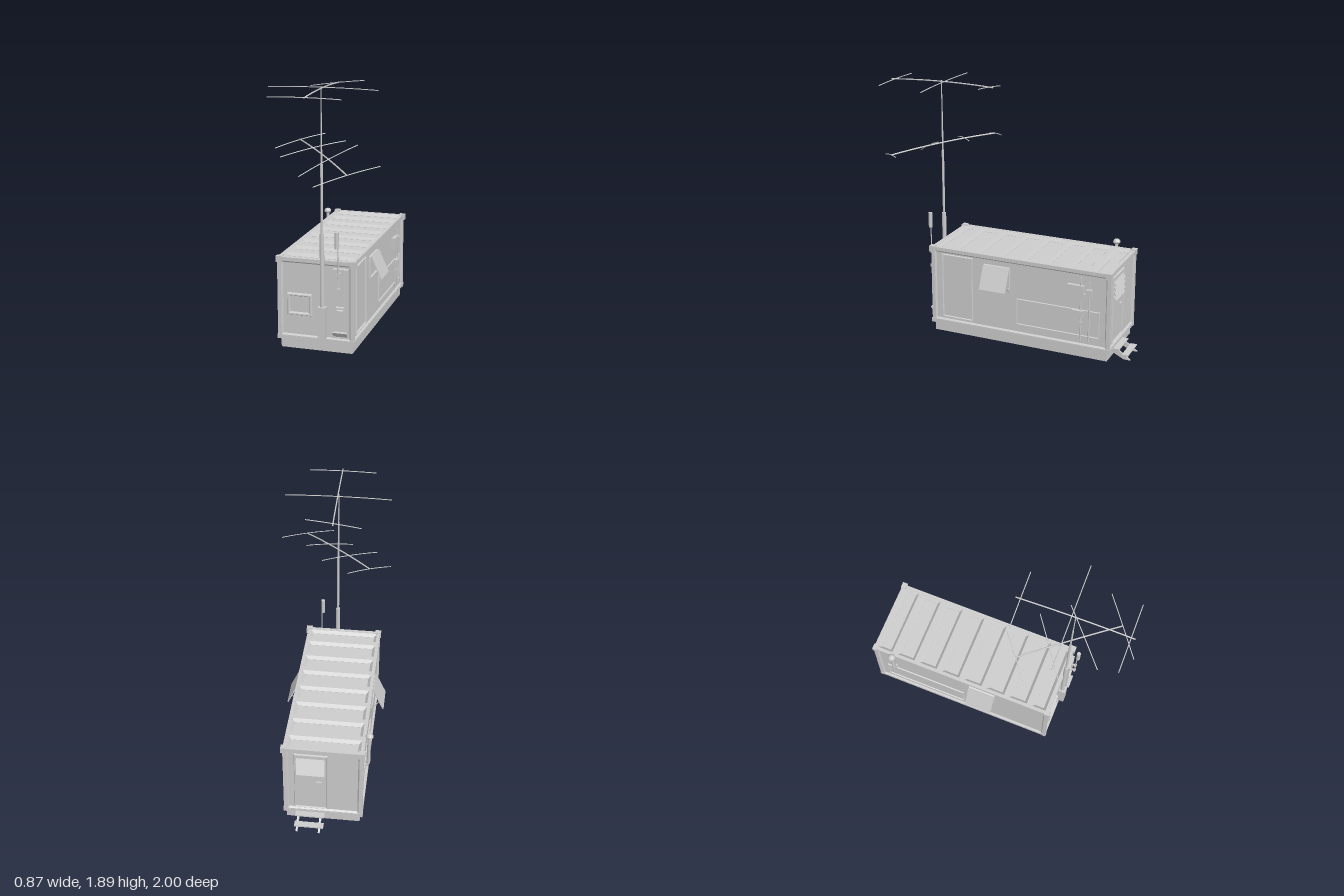
import * as THREE from 'three';

const grey = new THREE.MeshStandardMaterial({ color: 0xcccccc, flatShading: true });
const smooth = new THREE.MeshStandardMaterial({ color: 0xcccccc });
const V = (x, y, z) => new THREE.Vector3(x, y, z);

// Container extents
const X0 = -0.355, X1 = 0.212, Z0 = -0.872, Z1 = 0.545, Y0 = 0.07, Y1 = 0.675;
const XC = (X0 + X1) / 2, YC = (Y0 + Y1) / 2, ZC = (Z0 + Z1) / 2;

export function createModel() {
  const model = new THREE.Group();

  const add = (name, geo, mat = grey) => {
    const m = new THREE.Mesh(geo, mat);
    m.name = name;
    model.add(m);
    return m;
  };
  // Box from its minimum and maximum corners
  const box = (name, x0, x1, y0, y1, z0, z1) => {
    const m = add(name, new THREE.BoxGeometry(x1 - x0, y1 - y0, z1 - z0));
    m.position.set((x0 + x1) / 2, (y0 + y1) / 2, (z0 + z1) / 2);
  };
  // Straight rod between two points
  const rod = (name, a, b, r, sides = 10) => {
    const m = add(name, new THREE.CylinderGeometry(r, r, a.distanceTo(b), sides), smooth);
    m.position.copy(a).add(b).multiplyScalar(0.5);
    m.quaternion.setFromUnitVectors(V(0, 1, 0), b.clone().sub(a).normalize());
  };
  // Thin tube that sags from its middle towards both ends
  const bowed = (name, a, b, rise, r) => {
    const mid = a.clone().add(b).multiplyScalar(0.5);
    mid.y += rise * 2;
    add(name, new THREE.TubeGeometry(new THREE.QuadraticBezierCurve3(a, mid, b), 10, r, 6), smooth);
  };
  const rect = (Type, x0, x1, y0, y1) => new Type([
    [x0, y0], [x1, y0], [x1, y1], [x0, y1]].map(p => new THREE.Vector2(...p)));
  // Rectangular frame facing +z; a bevel slopes its sides out from the face
  const frame = (name, w, h, border, depth, bevel = 0) => {
    const s = rect(THREE.Shape, -w / 2 + bevel, w / 2 - bevel, -h / 2 + bevel, h / 2 - bevel);
    const b = border - bevel;
    s.holes.push(rect(THREE.Path, -w / 2 + b, w / 2 - b, -h / 2 + b, h / 2 - b));
    return add(name, new THREE.ExtrudeGeometry(s, bevel
      ? { depth: 0.001, bevelThickness: depth, bevelSize: bevel, bevelSegments: 1 }
      : { depth, bevelEnabled: false }));
  };
  const sideFrame = (name, side, z0, z1, y0, y1, border, depth, bevel) => {
    const m = frame(name, z1 - z0, y1 - y0, border, depth, bevel);
    m.rotation.y = side * Math.PI / 2;
    m.position.set(side > 0 ? X1 - 0.015 : X0 + 0.015, (y0 + y1) / 2, (z0 + z1) / 2);
  };

  // Hollow base skirt and body core
  const base = frame('base', 0.53, 1.378, 0.008, 0.08);
  base.rotation.x = -Math.PI / 2;
  base.position.set(-0.07, 0, -0.161);
  box('body', X0 + 0.015, X1 - 0.015, Y0 + 0.002, 0.65, Z0 + 0.015, Z1 - 0.015);

  // Outer frame: posts, rails and corner fittings
  const f = 0.024;
  for (const x of [X0, X1 - f]) {
    for (const z of [Z0, Z1 - f]) {
      box('cornerPost', x, x + f, Y0, Y1, z, z + f);
      box('topCorner', x - 0.007, x + f + 0.013, 0.637, 0.682, z - 0.006, z + f + 0.01);
      box('bottomCorner', x - 0.002, x + f + 0.004, Y0 - 0.002, 0.1, z - 0.002, z + f + 0.004);
    }
    for (const y of [Y0, Y1 - f]) box('sideRail', x, x + f, y, y + f, Z0 + f, Z1 - f);
  }
  for (const z of [Z0, Z1 - f])
    for (const y of [Y0, Y1 - f]) box('endRail', X0 + f, X1 - f, y, y + f, z, z + f);

  // Sloping lips that lead from the frame to the recessed walls
  for (const s of [1, -1]) {
    sideFrame('wallLip', s, Z0 + 0.012, Z1 - 0.012, Y0 + 0.012, Y1 - 0.012, 0.026, 0.012, 0.01);
    const lip = frame('endLip', X1 - X0 - 0.024, Y1 - Y0 - 0.024, 0.026, 0.012, 0.01);
    lip.rotation.y = s > 0 ? 0 : Math.PI;
    lip.position.set(XC, YC, ZC + s * ((Z1 - Z0) / 2 - 0.015));
  }

  // Roof sheet with eight recessed pans with sloping sides
  const roof = rect(THREE.Shape, X0 + 0.022, X1 - 0.022, -Z1 + 0.022, -Z0 - 0.022);
  for (let i = 0; i < 8; i++) {
    const z0 = i ? -0.866 + i * 0.182 : -0.842;
    const z1 = i === 7 ? 0.515 : -0.726 + i * 0.182;
    roof.holes.push(rect(THREE.Path, -0.33, 0.187, -z1, -z0));
  }
  const roofMesh = add('roof', new THREE.ExtrudeGeometry(roof, {
    depth: 0.002, bevelThickness: 0.022, bevelSize: 0.02, bevelSegments: 1 }));
  roofMesh.rotation.x = -Math.PI / 2;
  roofMesh.position.y = 0.65;

  // Front window
  frame('frontWindowFrame', 0.185, 0.165, 0.024, 0.016, 0.008).position.set(-0.193, 0.333, Z1 - 0.015);

  // Cable cabinet on the front
  frame('cabinetFrame', 0.11, 0.505, 0.008, 0.036).position.set(0.115, 0.372, 0.53);
  box('cabinetPanel', 0.066, 0.164, 0.125, 0.62, 0.53, 0.552);
  frame('cabinetSocket', 0.064, 0.034, 0.012, 0.016, 0.004).position.set(0.115, 0.333, 0.552);
  // Tray with a face that slopes back towards its foot
  const tray = add('cabinetTray', new THREE.ExtrudeGeometry(
    new THREE.Shape([[0.53, 0.125], [0.555, 0.125], [0.585, 0.165], [0.53, 0.165]]
      .map(([z, y]) => new THREE.Vector2(-z, y))), { depth: 0.106, bevelEnabled: false }));
  tray.rotation.y = Math.PI / 2;
  tray.position.x = 0.062;

  // Whip antenna with a round head
  rod('whipRod', V(0.112, 0.48, 0.592), V(0.112, 0.79, 0.597), 0.004);
  for (const y of [0.485, 0.595]) {
    box('whipClamp', 0.102, 0.122, y - 0.01, y + 0.01, 0.582, 0.602);
    box('whipBracket', 0.107, 0.117, y - 0.005, y + 0.005, 0.545, 0.585);
  }
  rod('whipHead', V(0.104, 0.785, 0.603), V(0.104, 0.9, 0.603), 0.0145, 12);

  // Telescopic mast
  const mx = -0.019, mz = 0.552;
  box('mastBase', -0.046, 0.01, 0.105, 0.338, 0.53, 0.582);
  for (const [y0, y1, r] of [[0.3, 0.87, 0.016], [0.87, 1.36, 0.009], [1.36, 1.65, 0.006], [1.65, 1.885, 0.004]])
    rod('mastSection', V(mx, y0, mz), V(mx, y1, mz), r, 12);

  // Upper antenna
  bowed('upperBoom', V(-0.02, 1.865, 0.135), V(-0.006, 1.865, 0.96), 0.014, 0.005);
  bowed('upperElement', V(-0.22, 1.838, 0.172), V(0.175, 1.888, 0.165), 0.004, 0.0035);
  bowed('upperElement', V(-0.405, 1.872, 0.532), V(0.37, 1.872, 0.517), 0.008, 0.0035);
  bowed('upperElement', V(-0.26, 1.862, 0.935), V(0.24, 1.862, 0.928), 0.005, 0.0035);

  // Lower antenna
  bowed('lowerBoom', V(-0.28, 1.462, 0.24), V(0.25, 1.355, 0.84), 0.014, 0.0055);
  for (const [a, b] of [
    [V(-0.425, 1.412, 0.365), V(-0.13, 1.492, 0.12)],
    [V(-0.31, 1.395, 0.572), V(0.075, 1.478, 0.285)],
    [V(-0.105, 1.315, 0.785), V(0.212, 1.487, 0.46)],
    [V(0.065, 1.3, 0.994), V(0.432, 1.398, 0.69)]]) bowed('lowerElement', a, b, 0.009, 0.0035);

  // Side hatches: window frame, raised flap and strut; and the low service panel
  for (const s of [1, -1]) {
    const wall = s > 0 ? X1 : X0;
    sideFrame('hatchFrame', s, -0.095, 0.115, 0.425, 0.6, 0.014, 0.012, 0.004);
    const flap = add('hatchFlap', new THREE.BoxGeometry(0.008, 0.185, 0.208));
    flap.position.set(wall + s * 0.04, 0.515, 0.01);
    flap.rotation.z = s * Math.atan2(0.075, 0.165);
    rod('hatchStrut', V(wall - s * 0.012, 0.41, -0.082), V(wall + s * 0.048, 0.495, -0.082), 0.004, 6);
    sideFrame('servicePanel', s, -0.79, -0.145, 0.165, 0.37, 0.008, 0.008, 0.003);
  }
  sideFrame('sideDoorFrame', 1, 0.21, 0.462, 0.123, 0.627, 0.01, 0.01, 0.004);

  // Pipes and junction boxes on the left side
  rod('conduit', V(0.207, 0.13, -0.647), V(0.207, 0.62, -0.647), 0.006);
  rod('conduit', V(0.207, 0.13, -0.712), V(0.207, 0.59, -0.712), 0.006);
  box('junctionBox', 0.195, 0.226, 0.465, 0.56, -0.67, -0.545);
  box('junctionBox', 0.195, 0.23, 0.322, 0.37, -0.67, -0.59);
  box('junctionBox', 0.195, 0.222, 0.465, 0.535, -0.732, -0.692);
  box('conduitClip', 0.195, 0.218, 0.255, 0.28, -0.657, -0.637);
  box('conduitLink', 0.198, 0.214, 0.485, 0.497, -0.71, -0.65);

  // Exhaust pipe with a mushroom cap on the right side
  const pipe = new THREE.CatmullRomCurve3([V(-0.33, 0.432, -0.708), V(-0.355, 0.434, -0.708),
    V(-0.373, 0.448, -0.708), V(-0.377, 0.48, -0.708), V(-0.377, 0.6, -0.708), V(-0.377, 0.705, -0.708)]);
  add('exhaustPipe', new THREE.TubeGeometry(pipe, 30, 0.013, 10), smooth);
  const capProfile = [[0, -0.01], [0.02, -0.01], [0.028, 0], [0.027, 0.01], [0.018, 0.022], [0, 0.028]];
  const cap = add('exhaustCap', new THREE.LatheGeometry(capProfile.map(p => new THREE.Vector2(...p)), 12));
  cap.position.set(-0.379, 0.7, -0.708);

  // Rear door with louvres and handle
  const door = frame('rearDoorFrame', 0.24, 0.515, 0.01, 0.01, 0.004);
  door.rotation.y = Math.PI;
  door.position.set(0.015, 0.367, Z0 + 0.015);
  for (let i = 0; i < 4; i++) {
    const slat = add('louvre', new THREE.BoxGeometry(0.2, 0.038, 0.006));
    slat.position.set(0.018, 0.57 - i * 0.037, Z0 + 0.002);
    slat.rotation.x = 0.55;
  }
  box('doorHandle', -0.065, -0.02, 0.364, 0.372, Z0 + 0.003, Z0 + 0.015);

  // Entry steps
  for (const x of [-0.055, 0.105]) {
    const s = new THREE.Shape([[0.85, 0.078], [0.89, 0.078], [1, 0], [0.95, 0], [0.85, 0.05]]
      .map(p => new THREE.Vector2(...p)));
    const side = add('stepStringer', new THREE.ExtrudeGeometry(s, { depth: 0.014, bevelEnabled: false }));
    side.rotation.y = Math.PI / 2;
    side.position.x = x - 0.007;
  }
  box('upperTread', -0.085, 0.125, 0.068, 0.078, -0.918, -0.86);
  box('lowerTread', -0.085, 0.125, 0.032, 0.042, -0.985, -0.938);

  return model;
}
